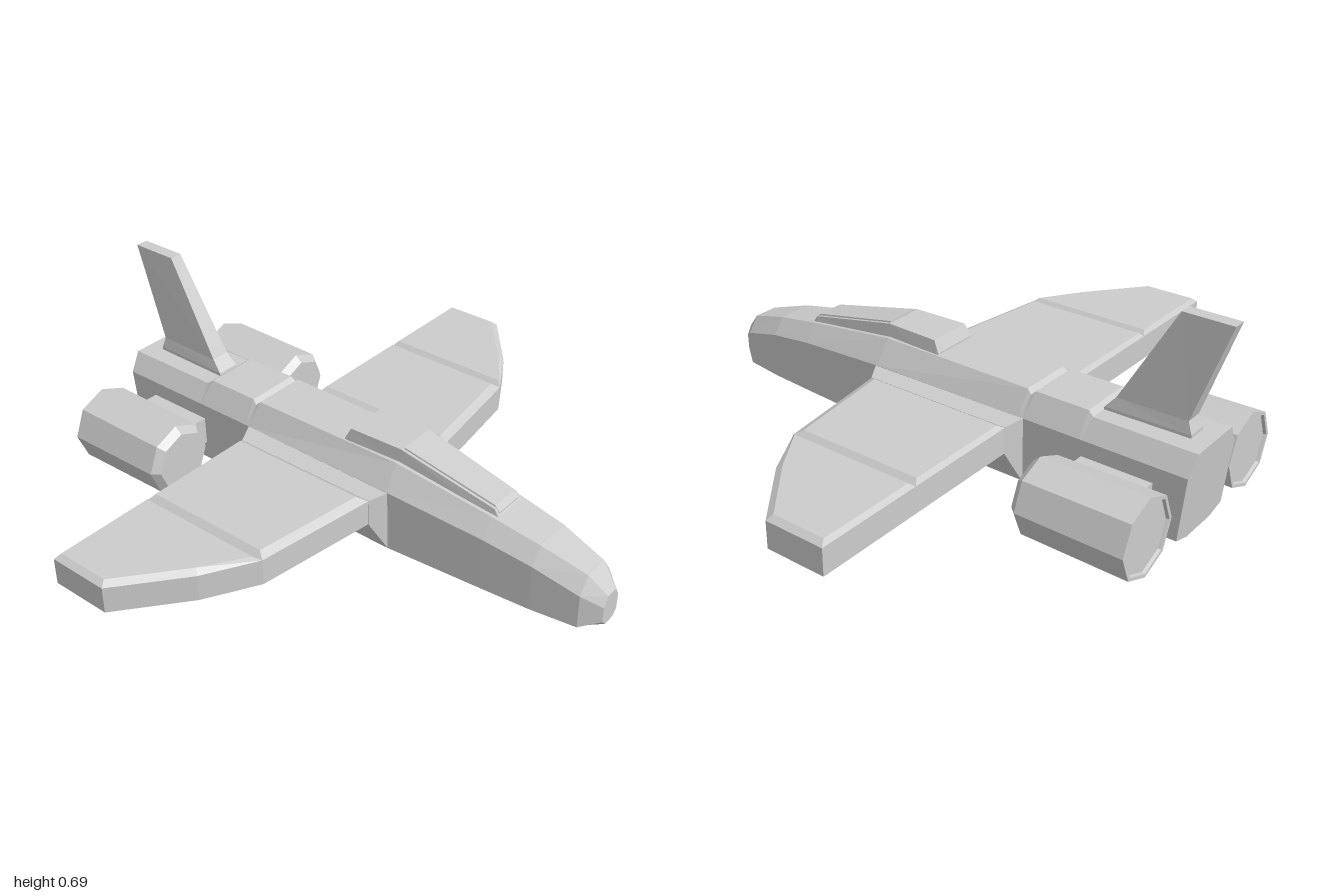
import * as THREE from 'three';

const hull = new THREE.MeshStandardMaterial({ color: 0xcccccc, flatShading: true });
hull.name = 'hullGrey';

// Closed solid through rings of [x, y, z] points; winding is fixed by signed volume
function loft(name, rings) {
  const n = rings[0].length, pts = rings.flat(), tris = [];
  for (let r = 0; r < rings.length - 1; r++) {
    for (let i = 0; i < n; i++) {
      const a = r * n + i, b = r * n + (i + 1) % n;
      tris.push([a, b, b + n], [a, b + n, a + n]);
    }
  }
  const end = (rings.length - 1) * n;
  for (let i = 1; i < n - 1; i++) {
    tris.push([0, i + 1, i], [end, end + i, end + i + 1]);
  }
  let volume = 0;
  const v = pts.map((p) => new THREE.Vector3(...p));
  for (const [a, b, c] of tris) volume += v[a].dot(v[b].clone().cross(v[c]));
  if (volume < 0) tris.forEach((t) => t.reverse());
  const geo = new THREE.BufferGeometry();
  geo.setAttribute('position', new THREE.Float32BufferAttribute(tris.flat().flatMap((i) => pts[i]), 3));
  geo.computeVertexNormals();
  const mesh = new THREE.Mesh(geo, hull);
  mesh.name = name;
  return mesh;
}

// Eight-sided hull section: half width, top half width, bottom, shoulder and top heights
function hullRing([x, w, t, yb, ys, yt], slant = 0) {
  const low = yb + 0.02;
  const half = [[w * 0.5, yb], [w * 0.97, low], [w, ys], [t, yt]];
  const full = [...half, ...half.map(([z, y]) => [-z, y]).reverse()];
  return full.map(([z, y]) => [x + slant * (yt - y), y, z]);
}

// Rectangle in the x-z plane at height y
const rectXZ = (y, x0, x1, z0, z1 = z0) => [[x0, y, -z0], [x1, y, -z1], [x1, y, z1], [x0, y, z0]];
const outline = (y, side, list) => list.map(([x, z]) => [x, y, z * side]);

// Wing panel with a bevelled upper rim
function panel(name, side, edge, top) {
  return loft(name, [outline(0.145, side, edge), outline(0.235, side, edge), outline(0.25, side, top)]);
}

export function createModel() {
  const model = new THREE.Group();
  model.name = 'spacePlane';

  // Fuselage with a panel groove on its back and a tapered nose
  const sections = [
    [-0.93, 0.14, 0.1, 0.01, 0.25, 0.315],
    [-0.58, 0.14, 0.1, 0.01, 0.25, 0.315],
    [-0.56, 0.14, 0.095, 0.01, 0.25, 0.33],
    [-0.37, 0.14, 0.095, 0.01, 0.25, 0.33],
    [-0.355, 0.14, 0.1, 0.01, 0.25, 0.316],
    [-0.34, 0.14, 0.095, 0.01, 0.25, 0.33],
    [0.23, 0.145, 0.09, 0.01, 0.25, 0.33],
    [0.58, 0.12, 0.075, 0.01, 0.22, 0.28],
    [0.75, 0.107, 0.065, 0.01, 0.195, 0.25],
    [0.905, 0.085, 0.045, 0.01, 0.15, 0.205],
    [0.965, 0.042, 0.022, 0.035, 0.11, 0.143],
  ];
  model.add(loft('fuselage', sections.map((s, i) => hullRing(s, i ? 0 : 0.1))));

  // Canopy: flat rear fairing, then a sloping windscreen
  const canopyRing = (x, yb, yt, wb, wt) => [[x, yb, -wb], [x, yt, -wt], [x, yt, wt], [x, yb, wb]];
  model.add(loft('canopyFairing', [
    canopyRing(0.02, 0.3, 0.335, 0.09, 0.085),
    canopyRing(0.04, 0.3, 0.375, 0.089, 0.08),
    canopyRing(0.235, 0.3, 0.375, 0.08, 0.073),
    canopyRing(0.58, 0.26, 0.3, 0.066, 0.06),
    canopyRing(0.6, 0.26, 0.272, 0.064, 0.06),
  ]));
  model.add(loft('windscreen', [
    canopyRing(0.24, 0.36, 0.379, 0.065, 0.062),
    canopyRing(0.575, 0.29, 0.307, 0.054, 0.05),
    canopyRing(0.592, 0.27, 0.288, 0.054, 0.05),
  ]));

  // Tail fin with a flared foot
  model.add(loft('tailFin', [
    rectXZ(0.3, -0.87, -0.575, 0.035, 0.04),
    rectXZ(0.325, -0.87, -0.58, 0.035, 0.04),
    rectXZ(0.365, -0.855, -0.615, 0.03, 0.033),
    rectXZ(0.692, -0.968, -0.8, 0.022),
  ]));

  for (const side of [1, -1]) {
    const group = new THREE.Group();
    group.name = side > 0 ? 'leftSide' : 'rightSide';
    model.add(group);

    // Root fairing, narrowing from the hull to the wing
    const root = (z, x0, x1, yb, yt) => [[x0, yb, z * side], [x1, yb, z * side], [x1, yt, z * side], [x0, yt, z * side]];
    group.add(loft('wingRoot', [
      root(0.12, -0.36, 0.24, 0.03, 0.25),
      root(0.14, -0.355, 0.24, 0.03, 0.25),
      root(0.2, -0.33, 0.208, 0.145, 0.236),
    ]));

    // Two wing panels meeting at a groove
    group.add(panel('innerWing', side,
      [[-0.33, 0.2], [0.207, 0.2], [0.147, 0.62], [-0.33, 0.62]],
      [[-0.318, 0.222], [0.175, 0.222], [0.122, 0.602], [-0.318, 0.602]]));
    group.add(panel('outerWing', side,
      [[-0.33, 0.62], [0.147, 0.62], [0.05, 0.79], [-0.122, 1], [-0.33, 1]],
      [[-0.318, 0.638], [0.125, 0.638], [0.033, 0.778], [-0.133, 0.98], [-0.318, 0.98]]));

    // Rails under the wing
    for (const z of [0.32, 0.437, 0.555]) {
      group.add(loft('underwingRail', [
        rectXZ(0.15, -0.18, 0.1, 0.014),
        rectXZ(0.138, -0.18, 0.1, 0.014),
        rectXZ(0.131, -0.17, 0.09, 0.009),
      ].map((ring) => ring.map(([x, y, dz]) => [x, y, z * side + dz]))));
    }

    // Eight-sided engine with a shallow recess at the rear
    const engineRing = ([x, r]) => Array.from({ length: 8 }, (_, i) => {
      const a = i * Math.PI / 4;
      return [x, 0.132 + r * Math.cos(a), 0.305 * side + r * Math.sin(a)];
    });
    group.add(loft('engine', [
      [-0.89, 0.117], [-0.9, 0.12], [-0.9, 0.132], [-0.535, 0.128], [-0.51, 0.105],
    ].map(engineRing)));

    // Pylon joining engine and hull
    const pylon = new THREE.Mesh(new THREE.BoxGeometry(0.245, 0.1, 0.12), hull);
    pylon.name = 'enginePylon';
    pylon.position.set(-0.69, 0.145, 0.165 * side);
    group.add(pylon);
  }
  return model;
}
